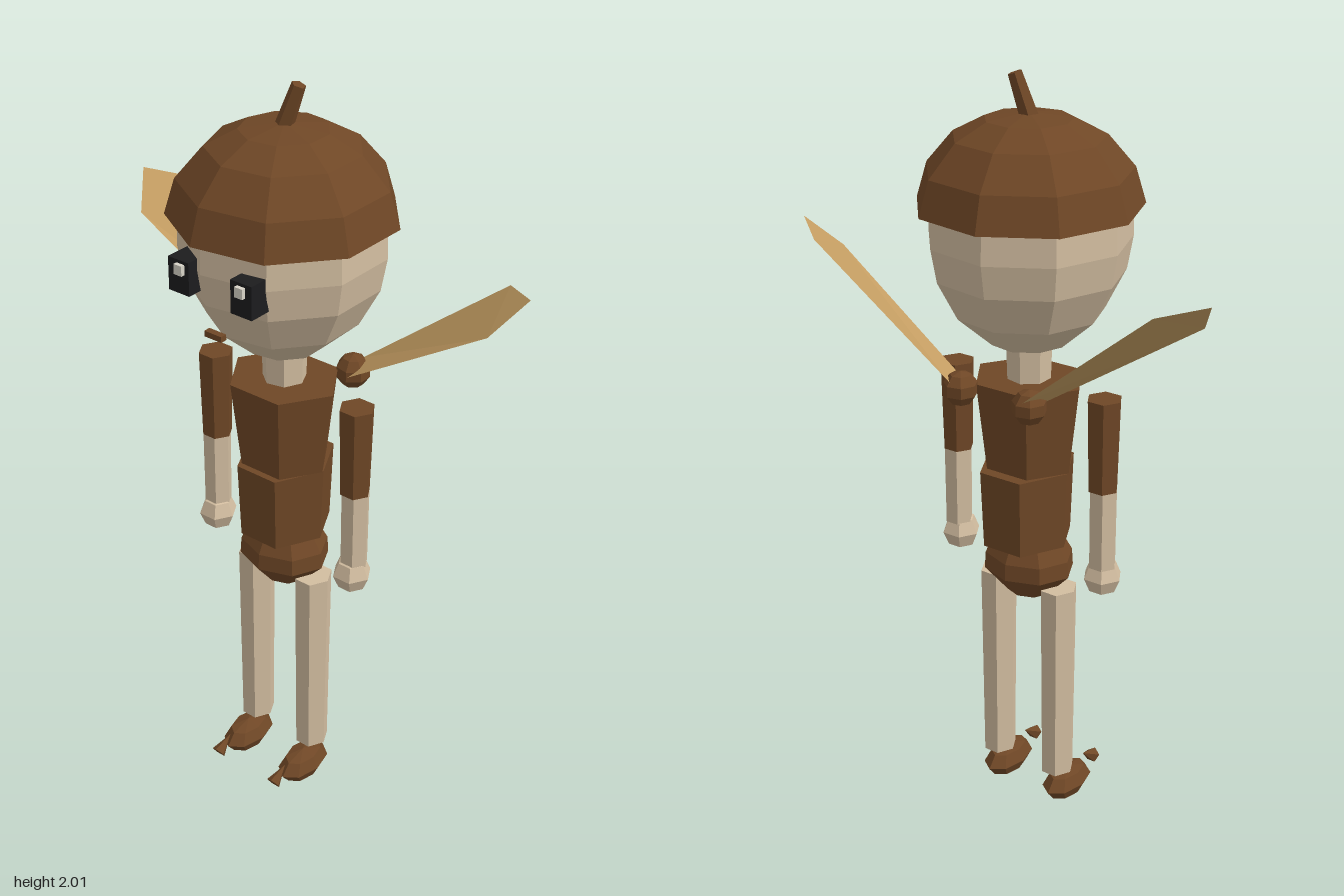
import * as THREE from 'three';

const mat = (name, color, side = THREE.FrontSide) =>
  Object.assign(new THREE.MeshStandardMaterial({ color, flatShading: true, side }), { name });

export function createModel() {
  const skin = mat('skin', 0xd2bda0);
  const bark = mat('bark brown', 0x6f4726);
  const black = mat('eye black', 0x1c1c1e);
  const glint = mat('eye glint', 0xd8d4c8);
  const wing = mat('wing tan', 0xc49d62, THREE.DoubleSide);

  const root = new THREE.Group();
  root.name = 'acornFairy';

  const add = (name, geometry, material, x = 0, y = 0, z = 0) => {
    const m = new THREE.Mesh(geometry, material);
    m.name = name;
    m.position.set(x, y, z);
    root.add(m);
    return m;
  };
  // Faceted solid of revolution with a corner on the -x side
  const turned = (name, points, sides, material, x = 0, y = 0, z = 0) =>
    add(name, new THREE.LatheGeometry(points.map(p => new THREE.Vector2(...p)), sides, -Math.PI / 2),
      material, x, y, z);
  // Upright faceted prism between two heights
  const prism = (name, rTop, rBottom, y0, y1, sides, material, x = 0, z = 0) =>
    add(name, new THREE.CylinderGeometry(rTop, rBottom, y1 - y0, sides, 1, false, Math.PI / 2),
      material, x, (y0 + y1) / 2, z);
  const box = (name, w, h, d, material, x, y, z) =>
    add(name, new THREE.BoxGeometry(w, h, d), material, x, y, z);

  // Head, acorn cap and stem
  turned('head', [[0, 1.325], [0.1, 1.335], [0.19, 1.415], [0.242, 1.515], [0.257, 1.6],
    [0.254, 1.69], [0, 1.7]], 9, skin);
  turned('acornCap', [[0, 1.7], [0.285, 1.68], [0.258, 1.77], [0.19, 1.85], [0.11, 1.892], [0, 1.907]],
    9, bark);
  const stem = add('capStem', new THREE.CylinderGeometry(0.018, 0.024, 0.115, 5), bark, 0.012, 1.945, -0.009);
  stem.rotation.set(-0.13, 0, -0.3);

  // Face
  for (const s of [-1, 1]) {
    box('eye', 0.063, 0.086, 0.072, black, s * 0.095, 1.588, 0.236);
    box('eyeGlint', 0.024, 0.026, 0.014, glint, s * 0.092 + 0.004, 1.61, 0.276);
  }
  box('mouth', 0.052, 0.015, 0.018, bark, -0.003, 1.456, 0.252);

  // Neck, torso and hips
  prism('neck', 0.06, 0.056, 1.23, 1.36, 7, skin);
  prism('chest', 0.153, 0.124, 1.0, 1.235, 6, bark).scale.z = 0.9;
  const waist = prism('waist', 0.123, 0.115, 0.79, 1.0, 6, bark, 0, -0.006);
  waist.scale.z = 1.13;
  turned('hips', [[0, 0.615], [0.06, 0.632], [0.125, 0.7], [0.122, 0.745], [0.095, 0.79], [0, 0.795]],
    8, bark).scale.z = 0.86;

  for (const s of [-1, 1]) {
    // Arms
    prism('sleeve', 0.046, 0.04, 0.985, 1.23, 6, bark, s * 0.228);
    prism('forearm', 0.038, 0.037, 0.77, 0.986, 6, skin, s * 0.23);
    add('hand', new THREE.SphereGeometry(0.052, 6, 4), skin, s * 0.228, 0.738, 0.005);

    // Legs
    prism('leg', 0.048, 0.043, 0.105, 0.667, 6, skin, s * 0.097, -0.002).scale.z = 1.12;

    // Shoes with curled toe tips
    const shoe = add('shoe', new THREE.SphereGeometry(1, 8, 4), bark, s * 0.1, 0.045, 0.04);
    shoe.scale.set(0.052, 0.045, 0.09);
    const tip = add('toeTip', new THREE.ConeGeometry(0.021, 0.06, 5), bark, s * 0.1, 0.068, 0.145);
    tip.rotation.x = -1;

    // Wing knobs and flat leaf wings
    add('wingKnob', new THREE.SphereGeometry(0.046, 7, 5), bark, s * 0.105, 1.227, -0.145);
    const leaf = new THREE.BufferGeometry();
    const outline = [[0.11, 1.25, -0.18], [0.497, 1.56, -0.226], [0.6, 1.585, -0.148],
      [0.54, 1.5, -0.07], [0.11, 1.222, -0.105]];
    leaf.setAttribute('position', new THREE.Float32BufferAttribute(
      outline.flatMap(([x, y, z]) => [s * x, y, z]), 3));
    const tris = [0, 3, 1, 1, 3, 2, 0, 4, 3];
    leaf.setIndex(s > 0 ? tris : tris.reverse());
    leaf.computeVertexNormals();
    add('wing', leaf, wing);
  }
  return root;
}
